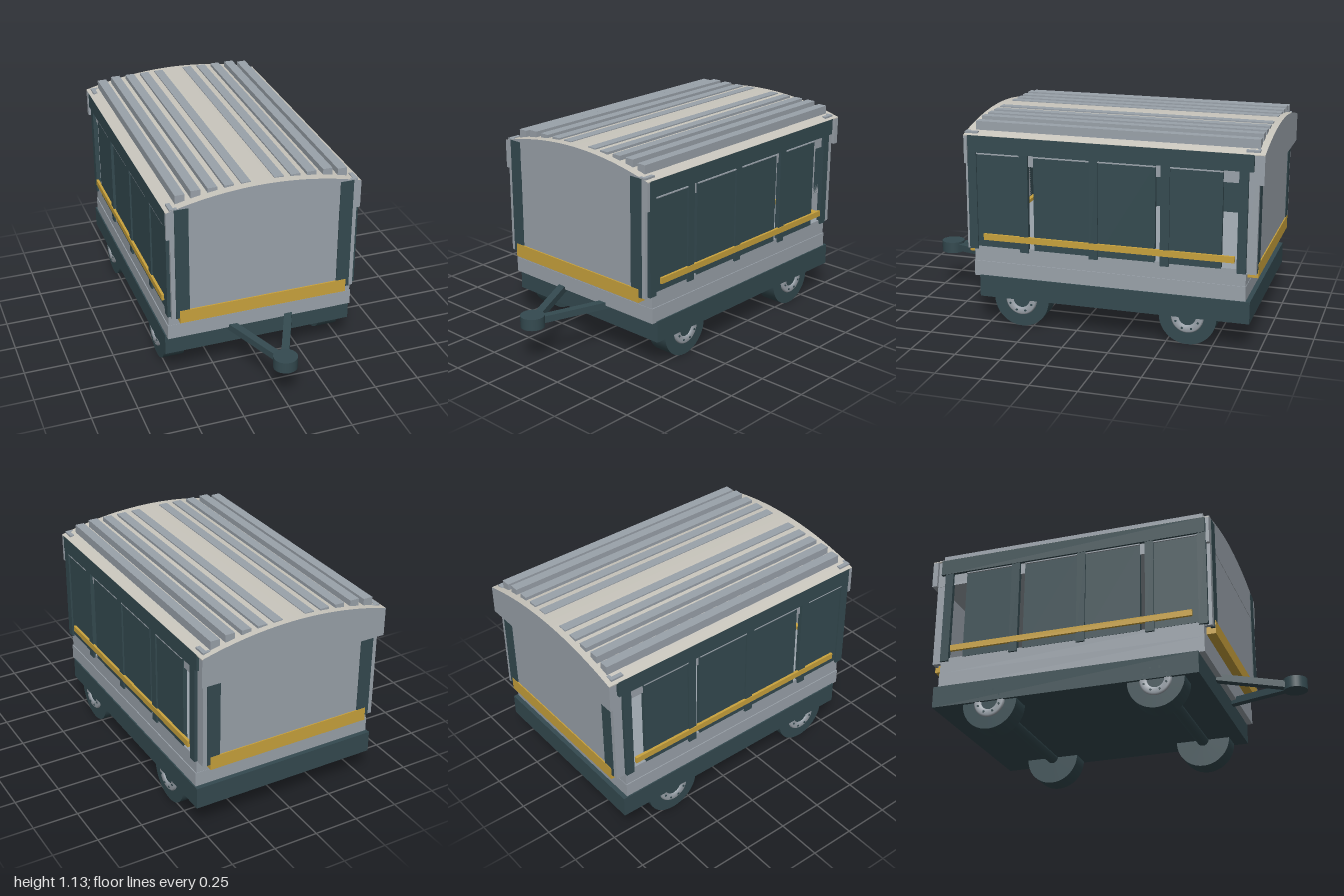
import * as THREE from 'three';

const mat = (name, color) => {
  const m = new THREE.MeshStandardMaterial({ color });
  m.name = name;
  return m;
};

export function createModel() {
  const dark = mat('dark slate', 0x344a50);
  const grey = mat('panel grey', 0x9aa2aa);
  const yellow = mat('safety yellow', 0xc9a23c);
  const beige = mat('roof beige', 0xc9c6bd);
  const cart = new THREE.Group();
  cart.name = 'baggageTrailer';

  const add = (name, geo, material, parent = cart) => {
    const m = new THREE.Mesh(geo, material);
    m.name = name;
    parent.add(m);
    return m;
  };
  // Box from minimum and maximum corners
  const box = (name, material, x0, x1, y0, y1, z0, z1) => {
    const g = new THREE.BoxGeometry(Math.abs(x1 - x0), y1 - y0, z1 - z0);
    g.translate((x0 + x1) / 2, (y0 + y1) / 2, (z0 + z1) / 2);
    return add(name, g, material);
  };

  // Chassis and lower body
  box('chassis', dark, -0.532, 0.532, 0.155, 0.275, -0.947, 0.544);
  box('lowerSill', grey, -0.525, 0.525, 0.27, 0.355, -0.922, 0.576);
  box('lowerBody', grey, -0.52, 0.52, 0.355, 0.445, -0.92, 0.574);

  // End walls with dark uprights and yellow bumper boards
  box('frontWall', grey, -0.512, 0.512, 0.42, 1.06, 0.6, 0.616);
  box('backWall', grey, -0.512, 0.512, 0.42, 1.06, -0.97, -0.954);
  box('frontBumper', yellow, -0.47, 0.47, 0.39, 0.465, 0.574, 0.624);
  box('backBumper', yellow, -0.47, 0.47, 0.39, 0.465, -0.976, -0.92);

  // Arched roof: grey core and end caps, with a thin beige skin
  const arch = x => 1.13 - 0.26 * x * x;
  const curve = (half, offset) => Array.from({ length: 25 }, (_, i) => {
    const x = half - (2 * half * i) / 24;
    return new THREE.Vector2(x, arch(x) + offset);
  });
  const extrude = (pts, z0, z1) => {
    const g = new THREE.ExtrudeGeometry(new THREE.Shape(pts), { depth: z1 - z0, bevelEnabled: false });
    return g.translate(0, 0, z0);
  };
  const roofBlock = (name, half, z0, z1) => add(name, extrude([
    new THREE.Vector2(-half, 0.9), new THREE.Vector2(half, 0.9), ...curve(half, -0.004),
  ], z0, z1), grey);
  roofBlock('roofCore', 0.515, -0.985, 0.61);
  roofBlock('frontValance', 0.533, 0.6, 0.618);
  roofBlock('backValance', 0.533, -1, -0.97);
  add('roofSkin', extrude([...curve(0.533, 0), ...curve(0.533, -0.005).reverse()], -1, 0.618), [grey, beige]);

  for (const s of [-1, 1]) {
    // Uprights on the end walls
    box('frontUpright', dark, s * 0.415, s * 0.49, 0.42, 1.066, 0.6, 0.621);
    box('backUpright', dark, s * 0.415, s * 0.49, 0.42, 1.05, -0.974, -0.954);

    // L-shaped corner angles poking just through the roof
    for (const [z0, z1, e0, e1] of [[0.545, 0.617, 0.6, 0.617], [-0.972, -0.9, -0.972, -0.955]]) {
      box('cornerAngleSide', grey, s * 0.49, s * 0.513, 0.42, 1.072, z0, z1);
      box('cornerAngleEnd', grey, s * 0.465, s * 0.513, 0.42, 1.072, e0, e1);
    }

    // Side rail, posts, panels and yellow guard strip
    box('topRail', dark, s * 0.49, s * 0.534, 0.965, 1.055, -0.945, 0.596);
    for (const z of [0.574, 0.284, -0.103, -0.49, -0.896])
      box('sidePost', dark, s * 0.505, s * 0.531, 0.425, 0.97, z - 0.024, z + 0.024);
    for (const [z0, z1] of [[0.3, 0.555], [-0.085, 0.23], [-0.437, -0.12], [-0.79, -0.505]]) {
      box('sidePanel', dark, s * 0.5, s * 0.522, 0.44, 0.97, z0, z1);
      box('panelLedge', grey, s * 0.505, s * 0.53, 0.953, 0.959, z0, z1);
    }
    box('guardStrip', yellow, s * 0.52, s * 0.536, 0.48, 0.514, -0.86, 0.515);

    // Roof slats
    const slats = [[0.09, 1.133], [0.18, 1.132], [0.27, 1.132], [0.36, 1.132], [0.443, 1.12]];
    for (const [x, top] of slats)
      box('roofSlat', grey, s * (x - 0.026), s * (x + 0.026), arch(x) - 0.025, top, -0.965, 0.57);

    // Wheels with recessed hubs and bolts
    for (const z of [0.31, -0.616]) {
      const wheel = new THREE.Group();
      wheel.name = 'wheel';
      wheel.position.set(s * 0.456, 0.155, z);
      wheel.rotation.z = -s * Math.PI / 2;
      cart.add(wheel);
      add('tyre', new THREE.CylinderGeometry(0.155, 0.155, 0.118, 40), dark, wheel);
      const rim = [[0.088, 0.05], [0.088, 0.064], [0.08, 0.072], [0.05, 0.072], [0.045, 0.06]];
      add('hub', new THREE.LatheGeometry(rim.map(p => new THREE.Vector2(...p)).reverse(), 32),
        grey, wheel).material.side = THREE.DoubleSide;
      add('hubCentre', new THREE.CylinderGeometry(0.046, 0.046, 0.01, 24), dark, wheel).position.y = 0.058;
      for (let i = 0; i < 8; i++) {
        const a = (i + 0.5) * Math.PI / 4;
        add('wheelBolt', new THREE.CylinderGeometry(0.006, 0.006, 0.006, 8), dark, wheel)
          .position.set(Math.cos(a) * 0.065, 0.073, Math.sin(a) * 0.065);
      }
    }

    // Drawbar arm
    const from = new THREE.Vector3(s * 0.175, 0.27, 0.54);
    const to = new THREE.Vector3(s * 0.012, 0.246, 0.9);
    const arm = add('drawbarArm', new THREE.BoxGeometry(0.042, 0.038, from.distanceTo(to)), dark);
    arm.position.copy(from).add(to).multiplyScalar(0.5);
    arm.lookAt(to);
  }

  // Axles and towing eye
  for (const z of [0.31, -0.616]) {
    const axle = add('axle', new THREE.CylinderGeometry(0.034, 0.034, 0.82, 20), dark);
    axle.rotation.z = Math.PI / 2;
    axle.position.set(0, 0.155, z);
  }
  add('towingEye', new THREE.CylinderGeometry(0.065, 0.065, 0.064, 32), dark).position.set(0, 0.248, 0.935);

  return cart;
}
